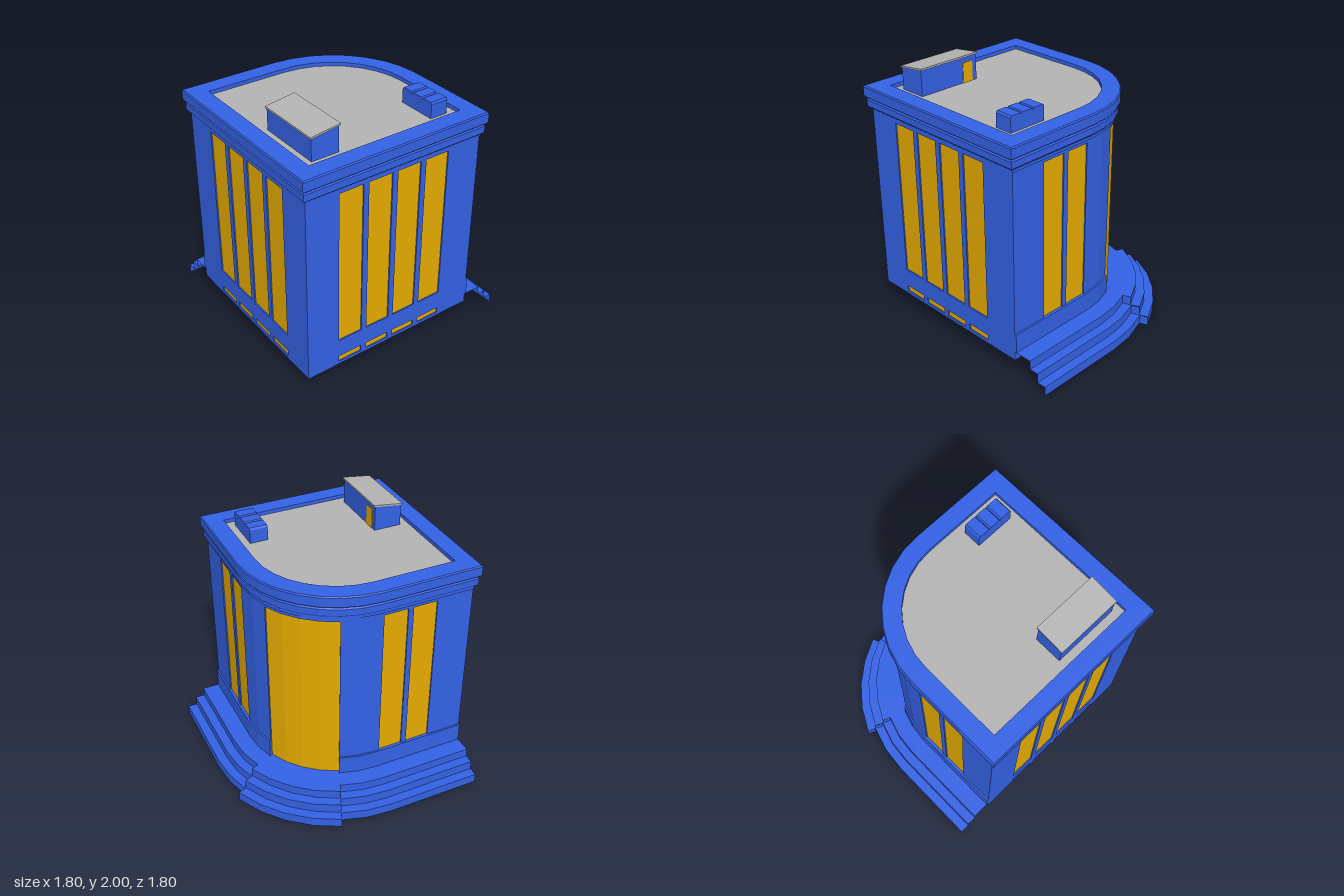
import * as THREE from 'three';

const C = 0.12, EDGE = 0.86, R = 0.727; // corner centre, square side, wall radius
const BASE = 0.15, TOP = 1.66; // wall bottom and top
const SEG = 8; // facets in the rounded corner
const mat = (color) => new THREE.MeshStandardMaterial({ color, flatShading: true, side: THREE.DoubleSide });

export function createModel() {
  const model = new THREE.Group();
  const blue = mat(0x3462e6), gold = mat(0xe6ab00), grey = mat(0xb4b4b4);

  const add = (name, geometry, material, parent = model) => {
    const m = new THREE.Mesh(geometry, material);
    m.name = name;
    parent.add(m);
    return m;
  };
  const box = (name, x0, x1, y0, y1, z0, z1, material, parent) => {
    const m = add(name, new THREE.BoxGeometry(x1 - x0, y1 - y0, z1 - z0), material, parent);
    m.position.set((x0 + x1) / 2, (y0 + y1) / 2, (z0 + z1) / 2);
    return m;
  };

  // Plan points around the rounded back-left corner, facets i0..i1, with optional straight arms
  const arc = (r, i0, i1) => {
    const pts = [];
    for (let i = i0; i <= i1; i++) {
      const a = (i / SEG) * Math.PI / 2;
      pts.push(new THREE.Vector2(C - r * Math.sin(a), C - r * Math.cos(a)));
    }
    return pts;
  };
  const withArms = (r, i0, i1) => {
    const pts = arc(r, i0, i1);
    if (i0 === 0) pts.unshift(new THREE.Vector2(EDGE, C - r));
    if (i1 === SEG) pts.push(new THREE.Vector2(C - r, EDGE));
    return pts;
  };
  // Whole building outline grown by o
  const outline = (o) => {
    const r = 0.719 + o;
    return [
      new THREE.Vector2(EDGE + o, C - r), ...arc(r, 0, SEG),
      new THREE.Vector2(C - r, EDGE + o), new THREE.Vector2(EDGE + o, EDGE + o),
    ];
  };
  // Vertical prism over a plan shape
  const prism = (pts, y0, y1) => {
    const g = new THREE.ExtrudeGeometry(new THREE.Shape(pts), { depth: y1 - y0, bevelEnabled: false });
    return g.rotateX(Math.PI / 2).translate(0, y1, 0);
  };
  const ring = (path, r0, r1, i0, i1, y0, y1) =>
    prism([...path(r1, i0, i1), ...path(r0, i0, i1).reverse()], y0, y1);
  // Sweep a profile of [offset, height] along a plan path
  const sweep = (path, profile, closed) => {
    const pos = [], idx = [];
    const rows = profile.map(([o, y]) => path(o).map((p) => [p.x, y, p.y]));
    const n = rows[0].length;
    rows.forEach((row) => row.forEach((p) => pos.push(...p)));
    for (let j = 0; j < rows.length - 1; j++) {
      for (let i = 0; i < (closed ? n : n - 1); i++) {
        const k = (i + 1) % n, a = j * n + i, b = j * n + k;
        idx.push(a, a + n, b, b, a + n, b + n);
      }
    }
    const g = new THREE.BufferGeometry();
    g.setAttribute('position', new THREE.Float32BufferAttribute(pos, 3));
    g.setIndex(idx);
    g.computeVertexNormals();
    return g;
  };

  // Flat walls with window openings and recessed glass
  const T = 0.02;
  const rect = (Type, x0, x1, y0, y1) => new Type([
    new THREE.Vector2(x0, y0), new THREE.Vector2(x1, y0), new THREE.Vector2(x1, y1), new THREE.Vector2(x0, y1)]);
  const wall = (name, angle, dist, u0, u1, width, starts) => {
    const g = new THREE.Group();
    g.name = name;
    g.rotation.y = angle;
    const shape = rect(THREE.Shape, u0, u1, BASE, TOP);
    for (const u of starts) {
      const v = u + width;
      shape.holes.push(rect(THREE.Path, u, v, 0.37, 1.6), rect(THREE.Path, u, v, 0.175, 0.222));
      box('tallWindow', u, v, 0.37, 1.6, dist - T - 0.01, dist - T + 0.01, gold, g);
      box('basementWindow', u, v, 0.175, 0.37, dist - T - 0.01, dist - T + 0.01, gold, g);
    }
    const geo = new THREE.ExtrudeGeometry(shape, { depth: T, bevelEnabled: false });
    add('wallPanel', geo.translate(0, 0, dist - T), blue, g);
    model.add(g);
  };
  wall('frontWall', 0, EDGE, C - R, EDGE, 0.197, [-0.325, -0.083, 0.159, 0.4]);
  wall('rightWall', Math.PI / 2, EDGE, -EDGE, R - C, 0.197, [-0.597, -0.356, -0.114, 0.128]);
  wall('backWall', Math.PI, R - C, -EDGE, -C, 0.19, [-0.572, -0.34]);
  wall('leftWall', -Math.PI / 2, R - C, C, EDGE, 0.19, [0.15, 0.382]);

  // Rounded corner: wall, large curved window and plinth band
  for (const [i0, i1] of [[0, 2], [6, 8]]) {
    add('curvedWall', ring(arc, R - T, R, i0, i1, BASE, TOP), blue);
    add('plinthBand', ring(withArms, R - 0.005, R + 0.014, i0, i1, 0.22, 0.37), blue);
  }
  add('curvedWindow', ring(arc, R - T - 0.01, R - 0.01, 2, 6, BASE, 1.6), gold);
  add('curvedWindowHead', ring(arc, R - T, R, 2, 6, 1.6, TOP), blue);
  add('upperBand', ring(withArms, R - 0.005, R + 0.007, 0, SEG, 1.625, TOP), blue);

  // Floor, cornice with parapet, and roof deck
  add('floor', prism(outline(-0.02), 0.37, 0.38), blue);
  add('cornice', sweep(outline, [
    [-0.01, 1.65], [0.018, 1.65], [0.027, 1.662], [0.027, 1.71], [0.018, 1.722], [0.018, 1.732],
    [0.034, 1.732], [0.041, 1.742], [0.041, 1.81], [0.034, 1.82], [-0.1, 1.82], [-0.1, 1.785],
  ], true), blue);
  add('roofDeck', prism(outline(-0.1), 1.775, 1.79), grey);

  // Steps: thin shells, with the middle flight standing one tread further out
  const stepProfile = (d) => [[R - 0.01, 0.22], [0.875 + d, 0.22], [0.875 + d, 0.15], [0.948 + d, 0.15],
    [0.948 + d, 0.075], [1.02 + d, 0.075], [1.02 + d, 0]];
  for (const [i0, i1, d] of [[0, 2, 0], [2, 6, 0.065], [6, 8, 0]]) {
    add(d ? 'entranceSteps' : 'sideSteps', sweep((r) => withArms(r, i0, i1), stepProfile(d), false), blue);
  }
  for (const i of [2, 6]) {
    const cheek = new THREE.Group();
    cheek.name = 'stepCheeks';
    cheek.position.set(C, 0, C);
    cheek.rotation.y = Math.PI / 2 + (i / SEG) * Math.PI / 2;
    [0.875, 0.948, 1.02].forEach((r, k) => {
      const m = add('stepCheek', new THREE.PlaneGeometry(0.066, 0.074), blue, cheek);
      m.position.set(r + 0.033, 0.185 - k * 0.0745, 0);
    });
    model.add(cheek);
  }

  // Roof hut with sloping lid and a door at the back
  const slope = (pts, width, x1) => new THREE.ExtrudeGeometry(
    new THREE.Shape(pts.map(([z, y]) => new THREE.Vector2(z, y))), { depth: width, bevelEnabled: false })
    .rotateY(-Math.PI / 2).translate(x1, 0, 0);
  add('roofHut', slope([[0.48, 1.78], [0.695, 1.78], [0.695, 1.957], [0.48, 1.987]], 0.515, 0.695), blue);
  add('roofHutLid', slope([[0.47, 1.986], [0.703, 1.955], [0.703, 1.968], [0.47, 2]], 0.527, 0.701), grey);
  box('roofHutDoor', 0.22, 0.31, 1.79, 1.945, 0.476, 0.484, gold);

  // Vent box topped by three slats with narrow grooves between
  const vent = [[0.392, 1.78], [0.7, 1.78]];
  for (let i = 2; i >= 0; i--) {
    const x = 0.392 + i * 0.1027;
    vent.push([x + 0.1027, 1.895], [x + 0.092, 1.91], [x + 0.01, 1.91], [x, 1.895]);
  }
  const ventShape = new THREE.Shape(vent.map(([x, y]) => new THREE.Vector2(x, y)));
  add('roofVent', new THREE.ExtrudeGeometry(ventShape, { depth: 0.14, bevelEnabled: false })
    .translate(0, 0, -0.43), blue);

  return model;
}
